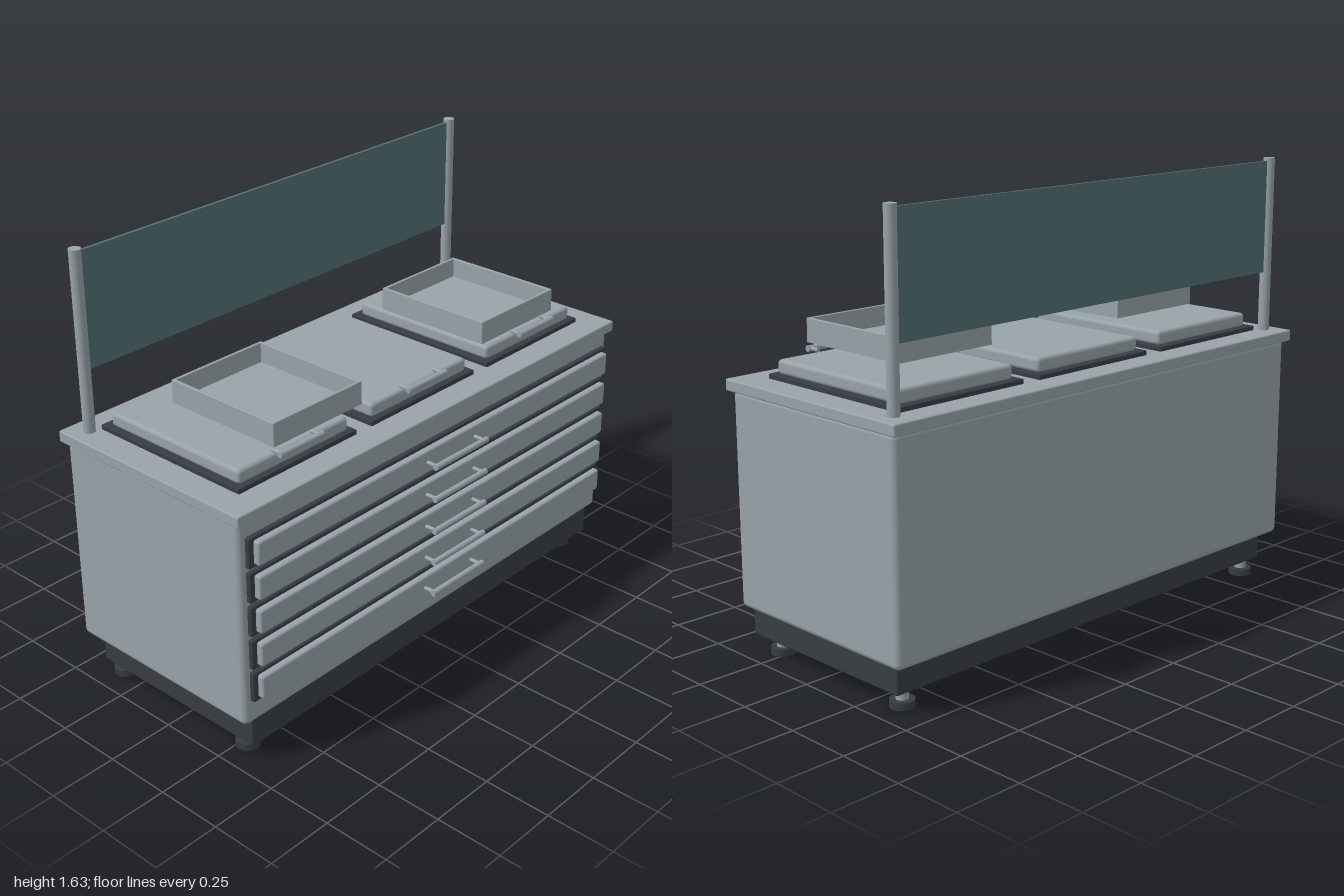
import * as THREE from 'three';
import { RoundedBoxGeometry } from 'three/addons/geometries/RoundedBoxGeometry.js';

const material = (name, color) => new THREE.MeshStandardMaterial({ name, color });

export function createModel() {
  const steel = material('steel', 0x98a3a8);
  const dark = material('darkRubber', 0x383d43);
  const glass = material('tealGlass', 0x507174);
  const model = new THREE.Group();
  model.name = 'servingCounter';

  const add = (parent, name, geometry, mat, x, y, z) => {
    const mesh = new THREE.Mesh(geometry, mat);
    mesh.name = name;
    mesh.position.set(x, y, z);
    parent.add(mesh);
    return mesh;
  };
  const box = (parent, name, mat, [w, h, d], [x, y, z], r = 0) =>
    add(parent, name, r ? new RoundedBoxGeometry(w, h, d, 3, r) : new THREE.BoxGeometry(w, h, d), mat, x, y, z);
  const rod = (parent, name, mat, r, length, [x, y, z], axis = 'y') => {
    const g = new THREE.CylinderGeometry(r, r, length, 20);
    if (axis === 'x') g.rotateZ(Math.PI / 2);
    if (axis === 'z') g.rotateX(Math.PI / 2);
    return add(parent, name, g, mat, x, y, z);
  };
  const group = (name, x = 0, y = 0, z = 0) => {
    const g = new THREE.Group();
    g.name = name;
    g.position.set(x, y, z);
    model.add(g);
    return g;
  };
  // Bar handle with two standoffs reaching back along -z
  const handle = (parent, halfWidth, reach, y, z) => {
    rod(parent, 'handleBar', steel, 0.011, halfWidth * 2, [0, y, z], 'x');
    for (const s of [-1, 1])
      rod(parent, 'handleStandoff', steel, 0.007, reach, [s * (halfWidth - 0.012), y, z - reach / 2], 'z');
  };

  // Cabinet, plinth and worktop
  box(model, 'plinth', dark, [1.885, 0.115, 0.755], [0, 0.1175, -0.0175], 0.008);
  box(model, 'cabinetBody', steel, [1.97, 0.775, 0.823], [0, 0.5575, -0.0385], 0.022);
  box(model, 'worktop', steel, [2, 0.042, 0.86], [0, 0.959, -0.04], 0.006);

  // Levelling feet
  for (const x of [-0.885, 0.885]) for (const z of [0.275, -0.352]) {
    const foot = group('foot', x, 0, z);
    rod(foot, 'footPad', dark, 0.043, 0.026, [0, 0.013, 0]);
    rod(foot, 'footStem', steel, 0.022, 0.05, [0, 0.045, 0]);
  }

  // Five drawers, each with a dark gasket
  for (let i = 0; i < 5; i++) {
    const drawer = group('drawer', 0, 0.829 - i * 0.127, 0);
    box(drawer, 'drawerGasket', dark, [1.915, 0.113, 0.03], [0, 0, 0.375], 0.006);
    box(drawer, 'drawerFront', steel, [1.875, 0.088, 0.035], [0, 0, 0.3965], 0.009);
    handle(drawer, 0.14, 0.05, 0, 0.459);
  }

  // Three lidded wells
  for (const x of [-0.622, 0, 0.622]) {
    const well = group('well', x, 0, 0);
    box(well, 'wellGasket', dark, [0.548, 0.02, 0.66], [0, 0.987, -0.042], 0.004);
    box(well, 'wellLid', steel, [0.505, 0.052, 0.612], [0, 1.02, -0.038], 0.014);
    handle(well, 0.1, 0.045, 1.053, 0.297);
  }

  // Two open trays
  const W = 0.415, D = 0.474, H = 0.085, T = 0.012;
  for (const x of [-0.526, 0.526]) {
    const tray = group('tray', x, 1.08, 0.047);
    box(tray, 'trayFloor', steel, [W, T, D], [0, T / 2, 0]);
    for (const s of [-1, 1]) {
      box(tray, 'traySide', steel, [T, H, D], [s * (W - T) / 2, H / 2, 0], 0.003);
      box(tray, 'trayEnd', steel, [W - T, H, T], [0, H / 2, s * (D - T) / 2], 0.003);
    }
  }

  // Rear screen on two posts
  for (const x of [-0.932, 0.932])
    rod(model, 'screenPost', steel, 0.021, 0.655, [x, 1.3055, -0.39]);
  box(model, 'screenPanel', glass, [1.83, 0.418, 0.012], [0, 1.413, -0.39]);

  return model;
}
